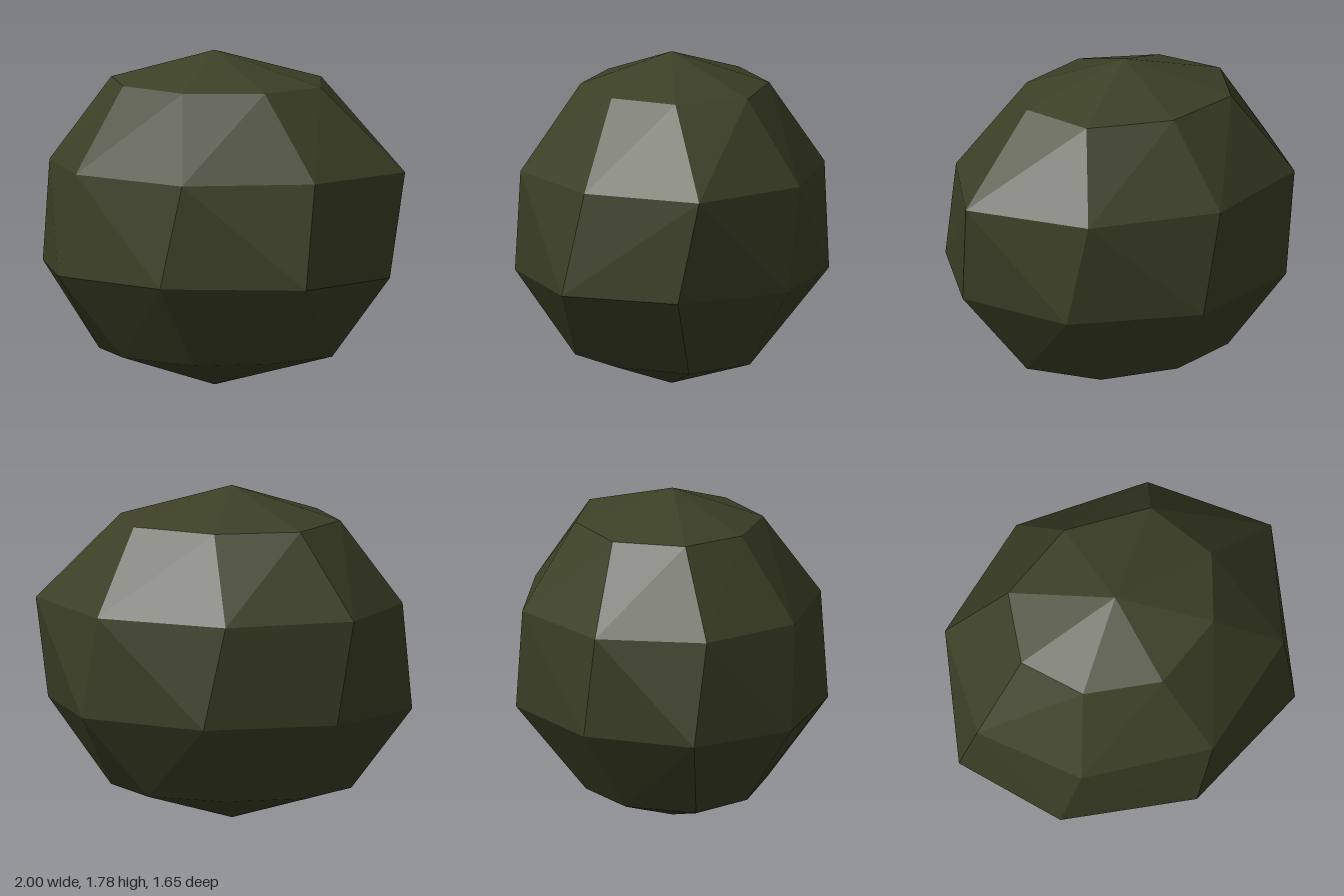
import * as THREE from 'three';
import { ConvexGeometry } from 'three/addons/geometries/ConvexGeometry.js';

// Octagonal rings of the boulder: height, then [x, z] corners running from +x through +z
const RINGS = [
  [0.17, [[0.6, -0.07], [0.4, 0.3], [0.035, 0.51], [-0.42, 0.35], [-0.665, 0.05], [-0.49, -0.3], [-0.09, -0.465], [0.34, -0.4]]],
  [0.615, [[0.95, 0], [0.705, 0.605], [-0.035, 0.825], [-0.71, 0.55], [-1, 0], [-0.7, -0.55], [-0.035, -0.83], [0.66, -0.59]]],
  [1.165, [[0.995, -0.11], [0.71, 0.485], [0.08, 0.8], [-0.6, 0.58], [-0.935, 0.075], [-0.78, -0.5], [-0.15, -0.81], [0.565, -0.655]]],
  [1.61, [[0.56, 0], [0.37, 0.33], [-0.035, 0.48], [-0.43, 0.32], [-0.615, 0], [-0.47, -0.37], [-0.035, -0.515], [0.42, -0.385]]],
];

export function createModel() {
  const group = new THREE.Group();
  group.name = 'boulder';
  const olive = new THREE.MeshStandardMaterial({ color: 0x3c4026 });
  olive.name = 'dark olive';

  // Bottom and top tips, with the irregular rings between
  const points = [new THREE.Vector3(-0.035, 0, 0), new THREE.Vector3(-0.035, 1.78, 0)];
  for (const [y, corners] of RINGS) {
    for (const [x, z] of corners) points.push(new THREE.Vector3(x, y, z));
  }

  // Faceted body
  const body = new THREE.Mesh(new ConvexGeometry(points), olive);
  body.name = 'boulderBody';
  group.add(body);
  return group;
}
